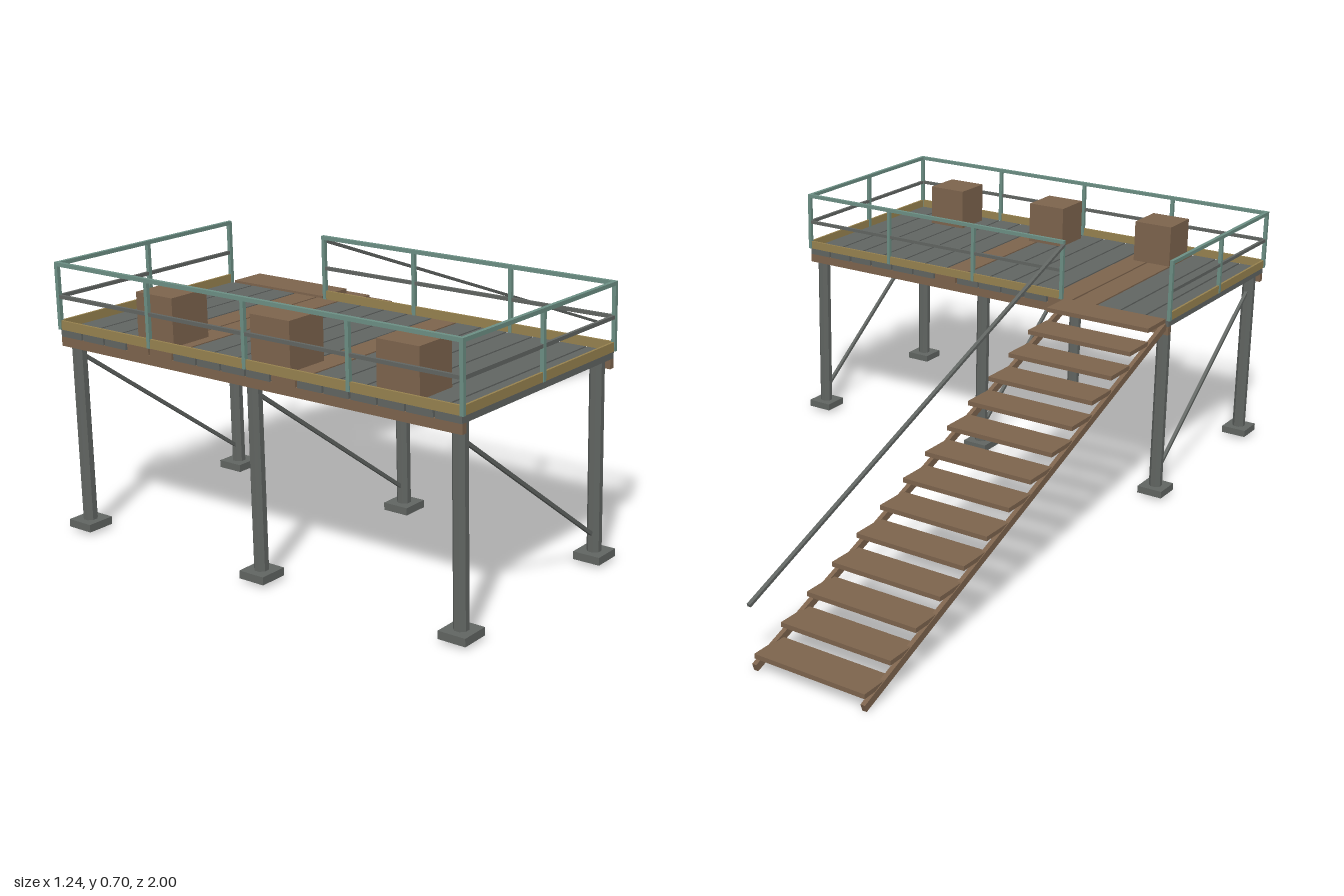
import * as THREE from 'three';

const mat = (name, color) => Object.assign(new THREE.MeshStandardMaterial({ color }), { name });

export function createModel() {
  const wood = mat('brown wood', 0x7d644d);
  const steel = mat('grey steel', 0x616562);
  const green = mat('green painted rail', 0x6c8f84);
  const ochre = mat('ochre toe board', 0x97824f);
  const model = new THREE.Group();
  model.name = 'raisedPlatform';

  // Box given by its minimum and maximum corner
  function box(name, material, x0, x1, y0, y1, z0, z1) {
    const mesh = new THREE.Mesh(new THREE.BoxGeometry(x1 - x0, y1 - y0, z1 - z0), material);
    mesh.position.set((x0 + x1) / 2, (y0 + y1) / 2, (z0 + z1) / 2);
    mesh.name = name;
    model.add(mesh);
    return mesh;
  }

  // Square bar running in a plane of constant x
  function slope(name, material, x, y0, z0, y1, z1, width, height) {
    const length = Math.hypot(y1 - y0, z1 - z0);
    const mesh = new THREE.Mesh(new THREE.BoxGeometry(width, height, length), material);
    mesh.position.set(x, (y0 + y1) / 2, (z0 + z1) / 2);
    mesh.rotation.x = -Math.atan2(y1 - y0, z1 - z0);
    mesh.name = name;
    model.add(mesh);
  }

  // Columns, foot plates and diagonal braces
  const columnGeometry = new THREE.CylinderGeometry(0.0185, 0.0185, 0.49, 8).toNonIndexed();
  columnGeometry.rotateY(Math.PI / 8);
  columnGeometry.computeVertexNormals();
  for (const x of [-0.583, 0, 0.583]) {
    for (const z of [0.415, 0.965]) {
      const column = new THREE.Mesh(columnGeometry, steel);
      column.position.set(x, 0.27, z);
      column.name = 'column';
      model.add(column);
      box('footPlate', steel, x - 0.037, x + 0.037, 0.01, 0.03, z - 0.037, z + 0.037);
    }
    slope('brace', steel, x, 0.07, 0.42, 0.465, 0.96, 0.009, 0.009);
  }

  // Long edge beams
  box('frontBeam', wood, -0.61, 0.61, 0.488, 0.512, 0.98, 0.995);
  box('backBeam', wood, -0.61, 0.61, 0.488, 0.512, 0.385, 0.4);

  // Deck planks with a few wooden replacements
  const pitch = 1.226 / 16;
  for (let i = 0; i < 16; i++) {
    const x = -0.613 + i * pitch;
    const material = [3, 4, 9].includes(i) ? wood : steel;
    box('deckPlank', material, x + 0.003, x + pitch - 0.003, 0.512, 0.53, 0.385, 0.995);
  }

  // Toe boards, top rails and middle rails
  const E = 0.611, F = 0.994, B = 0.386, gate = -0.275, r = 0.005;
  const runs = [[-E, E, F, F], [gate, E, B, B], [-E, -E, B, F], [E, E, B, F]];
  for (const [x0, x1, z0, z1] of runs) {
    box('toeBoard', ochre, x0 - 0.003, x1 + 0.003, 0.53, 0.553, z0 - 0.003, z1 + 0.003);
    box('topRail', green, x0 - r, x1 + r, 0.69, 0.7, z0 - r, z1 + r);
    box('middleRail', steel, x0 - 0.004, x1 + 0.004, 0.609, 0.618, z0 - 0.004, z1 + 0.004);
  }

  // Railing posts
  const posts = [];
  for (const x of [-E, -0.305, 0, 0.305, E]) posts.push([x, F]);
  for (const x of [gate, 0.02, 0.316, E]) posts.push([x, B]);
  for (const x of [-E, E]) posts.push([x, 0.69]);
  posts.push([-E, B]);
  for (const [x, z] of posts) box('railPost', green, x - r, x + r, 0.53, 0.695, z - r, z + r);

  // Crates
  for (const x of [-0.321, 0.045, 0.412]) {
    box('crate', wood, x - 0.059, x + 0.059, 0.53, 0.65, 0.84, 0.957);
  }

  // Staircase: stringers, treads and handrail
  for (const x of [-0.598, -0.29]) slope('stringer', wood, x, 0.513, 0.385, 0.011, -0.997, 0.012, 0.02);
  for (let i = 0; i < 14; i++) {
    const y = 0.529 - i * 0.0375, z = 0.382 - i * 0.0985;
    box('stairTread', wood, -0.602, -0.29, y - 0.006, y + 0.006, z - 0.1, z);
  }
  slope('stairHandrail', steel, -0.278, 0.688, 0.386, 0.167, -0.998, 0.01, 0.008);

  return model;
}
